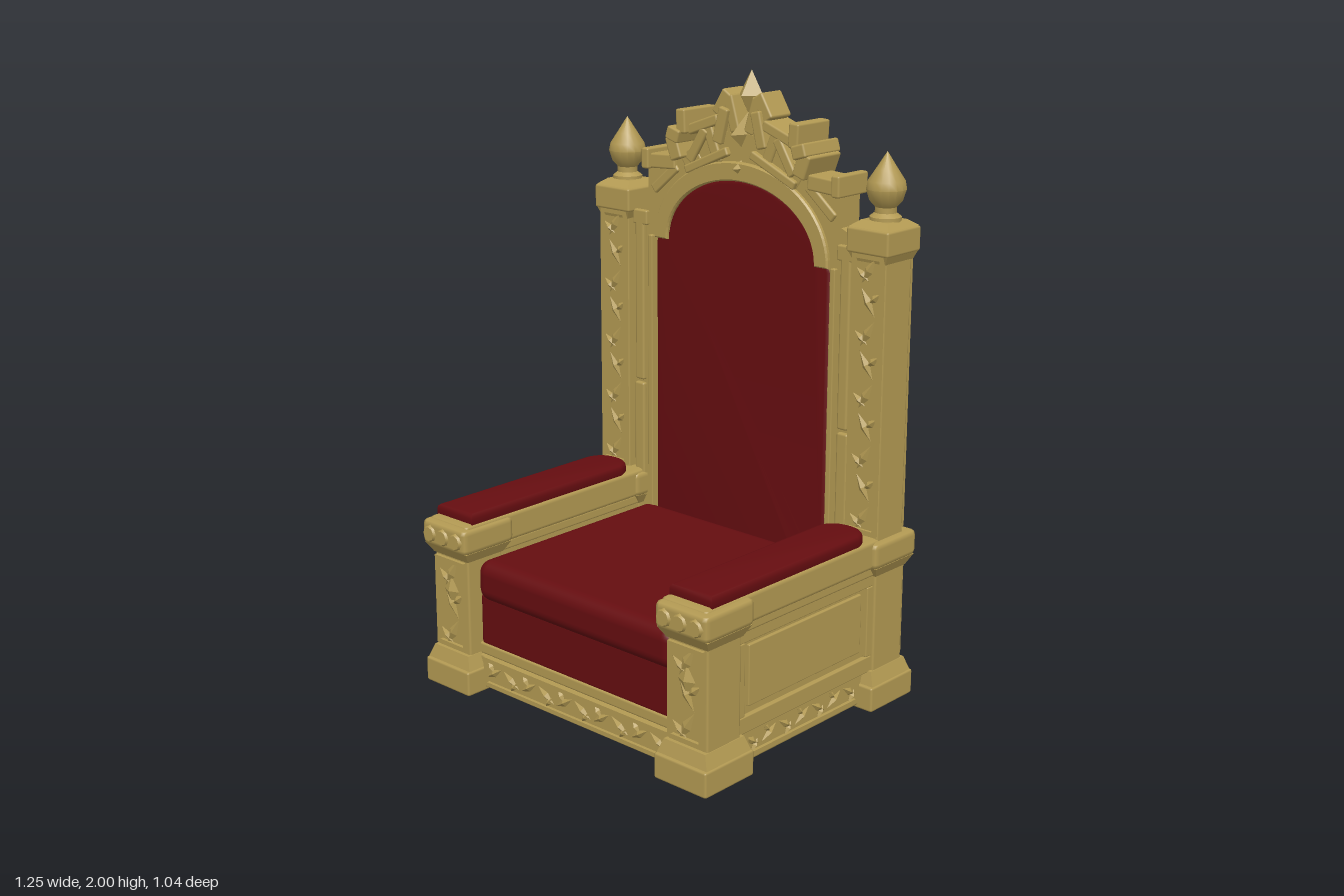
import * as THREE from 'three';
import { RoundedBoxGeometry } from 'three/addons/geometries/RoundedBoxGeometry.js';
import { mergeGeometries, toCreasedNormals } from 'three/addons/utils/BufferGeometryUtils.js';

const gold = new THREE.MeshStandardMaterial({ color: 0xb39a53 });
gold.name = 'gilded wood';
const red = new THREE.MeshStandardMaterial({ color: 0x650d10 });
red.name = 'red velvet';

export function createModel() {
  const root = new THREE.Group();
  root.name = 'throne';

  const add = (name, geo, mat = gold) => {
    const mesh = new THREE.Mesh(geo, mat);
    mesh.name = name;
    root.add(mesh);
    return mesh;
  };
  // Box given by its limits, with slightly rounded edges
  const box = (name, x0, x1, y0, y1, z0, z1, r = 0.008, mat = gold, seg = 1) => {
    const g = new RoundedBoxGeometry(x1 - x0, y1 - y0, z1 - z0, seg, r);
    g.translate((x0 + x1) / 2, (y0 + y1) / 2, (z0 + z1) / 2);
    return add(name, g, mat);
  };
  // Same box on the left (+x) and the right (-x)
  const pair = (name, x0, x1, ...rest) => {
    box(name + 'Left', x0, x1, ...rest);
    box(name + 'Right', -x1, -x0, ...rest);
  };
  // Four-sided block tapering upwards
  const taper = (name, x, y0, y1, z, w0, d0, w1, d1) => {
    const g = new THREE.BoxGeometry(1, y1 - y0, 1);
    const p = g.attributes.position;
    for (let i = 0; i < p.count; i++) {
      const top = p.getY(i) > 0;
      p.setX(i, p.getX(i) * (top ? w1 : w0));
      p.setZ(i, p.getZ(i) * (top ? d1 : d0));
    }
    g.translate(x, (y0 + y1) / 2, z);
    g.computeVertexNormals();
    add(name, g);
  };
  // Strip of leaf carving with raised borders; runs along local y, faces local +z
  const carving = (name, length, width, x, y, z, turn = 0, lay = 0) => {
    const parts = [];
    const n = Math.max(2, Math.round(length / (width * 0.85)));
    for (let i = 0; i < n; i++) {
      const s = i % 2 ? 1 : -1;
      const cy = -length / 2 + (i + 0.5) * length / n;
      [[0.42, 0.13, s * 0.55, 0], [0.26, 0.1, -s * 0.9, s * 0.2]].forEach(([l, w, a, dx]) => {
        const leaf = new THREE.OctahedronGeometry(1).scale(w * width, l * width, 0.011);
        parts.push(leaf.rotateZ(a).translate(dx * width, cy + dx * width * 0.6, 0));
      });
    }
    for (const s of [-1, 1]) {
      const b = 0.014;
      parts.push(new THREE.BoxGeometry(b, length, 0.018).toNonIndexed().translate(s * (width - b) / 2, 0, 0));
      parts.push(new THREE.BoxGeometry(width, b, 0.018).toNonIndexed().translate(0, s * (length - b) / 2, 0));
    }
    const m = add(name, mergeGeometries(parts));
    m.position.set(x, y, z);
    m.rotation.set(0, turn, lay, 'YXZ');
  };

  // Base and its carved rails
  box('basePlinth', -0.57, 0.57, 0.012, 0.125, -0.45, 0.435);
  box('frontRailTop', -0.45, 0.45, 0.125, 0.165, 0.3, 0.43);
  carving('frontRailCarving', 0.82, 0.1, 0, 0.075, 0.437, 0, Math.PI / 2);
  carving('backRailCarving', 0.82, 0.1, 0, 0.075, -0.453, Math.PI, Math.PI / 2);

  // Back and front posts, feet, arms and side panels
  for (const s of [-1, 1]) {
    for (const z of [-0.4, 0.4]) {
      const x = s * 0.52;
      box('foot', x - 0.105, x + 0.105, 0, 0.085, z - 0.11, z + 0.11);
      taper('footMoulding', x, 0.085, 0.13, z, 0.2, 0.2, 0.165, 0.175);
      box('lowerPost', x - 0.08, x + 0.08, 0.12, 0.49, z - 0.075, z + 0.075);
      taper('postNeck', x, 0.455, 0.49, z, 0.165, 0.155, 0.2, 0.2);
      box('armBlock', x - 0.105, x + 0.105, 0.485, 0.575, z - 0.11, z + 0.11, 0.02);
      const f = Math.sign(z);
      carving('lowerPostCarving', 0.31, 0.14, x, 0.295, z + f * 0.078, f > 0 ? 0 : Math.PI);
      // Diamond on the post and bosses on the arm block
      const diamond = add('postDiamond', new THREE.OctahedronGeometry(1).scale(0.035, 0.05, 0.015));
      diamond.position.set(x, 0.34, z + f * 0.078);
      for (const k of [-1, 0, 1]) {
        const boss = add('armBoss', new THREE.CylinderGeometry(0.024, 0.032, 0.014, 8).rotateX(f * Math.PI / 2));
        boss.position.set(x + k * 0.062, 0.53, z + f * 0.111);
      }
    }
    carving('sideRailCarving', 0.56, 0.095, s * 0.572, 0.078, 0, s * Math.PI / 2, Math.PI / 2);
    // Tall carved back post
    const px = s * 0.542;
    box('backPost', px - 0.063, px + 0.063, 0.56, 1.5, -0.455, -0.32);
    carving('backPostCarving', 0.9, 0.12, px, 1.04, -0.32);
    carving('backPostRearCarving', 0.9, 0.12, px, 1.04, -0.455, Math.PI);
    taper('capitalNeck', px, 1.465, 1.5, -0.39, 0.125, 0.14, 0.155, 0.165);
    box('capital', px - 0.08, px + 0.08, 1.49, 1.57, -0.475, -0.305);
    taper('capitalTop', px, 1.57, 1.59, -0.39, 0.15, 0.16, 0.1, 0.1);
    // Pointed finial
    const profile = [[0.05, 1.58], [0.05, 1.6], [0.034, 1.612], [0.034, 1.63], [0.052, 1.65], [0.063, 1.685],
      [0.058, 1.71], [0.035, 1.745], [0, 1.8]].map(([r, y]) => new THREE.Vector2(r, y));
    const finial = add('finial', toCreasedNormals(new THREE.LatheGeometry(profile, 16), 0.6));
    finial.position.set(s * 0.547, 0, -0.39);
  }
  pair('sideWall', 0.445, 0.575, 0.12, 0.49, -0.35, 0.35);
  pair('armRail', 0.425, 0.608, 0.485, 0.583, -0.46, 0.49, 0.015);
  pair('armUnderMoulding', 0.435, 0.595, 0.455, 0.49, -0.34, 0.34);
  // Raised frame and inner panel on each side wall
  pair('panelRailTop', 0.57, 0.59, 0.42, 0.46, -0.33, 0.33, 0.004);
  pair('panelRailBottom', 0.57, 0.59, 0.125, 0.18, -0.33, 0.33, 0.004);
  pair('panelStileFront', 0.57, 0.59, 0.18, 0.42, 0.295, 0.33, 0.004);
  pair('panelStileBack', 0.57, 0.59, 0.18, 0.42, -0.33, -0.3, 0.004);
  pair('panelField', 0.57, 0.585, 0.205, 0.405, -0.275, 0.272, 0.004);

  // Arched opening shared by frame and backrest, widened by m
  const arch = (Curve, m) => {
    const s = new Curve();
    s.moveTo(-0.425 - m, 0.12);
    s.lineTo(0.425 + m, 0.12);
    s.quadraticCurveTo(0.375 + m, 0.26, 0.37 + m, 0.42);
    s.lineTo(0.37 + m, 1.4);
    s.quadraticCurveTo(0.36 + m, 1.44, 0.315 + m, 1.44);
    s.absellipse(0, 1.42, 0.318 + m, 0.23 + m, 0.09, Math.PI - 0.09, false, 0);
    s.quadraticCurveTo(-0.36 - m, 1.44, -0.37 - m, 1.4);
    s.lineTo(-0.37 - m, 0.42);
    s.quadraticCurveTo(-0.375 - m, 0.26, -0.425 - m, 0.12);
    return s;
  };
  const half = [[0.49, 0.12], [0.49, 1.5], [0.455, 1.53], [0.41, 1.55], [0.41, 1.65], [0.3, 1.68], [0.2, 1.74], [0.08, 1.8]];
  const outline = [...half, ...half.slice().reverse().map(([x, y]) => [-x, y])];
  const frame = new THREE.Shape(outline.map(([x, y]) => new THREE.Vector2(x, y)));
  frame.holes.push(arch(THREE.Path, 0));
  const frameGeo = new THREE.ExtrudeGeometry(frame, { depth: 0.09, bevelEnabled: false, curveSegments: 20 });
  add('backFrame', frameGeo.translate(0, 0, -0.438));

  // Velvet backrest, slightly padded on both faces
  const backGeo = new THREE.ExtrudeGeometry(arch(THREE.Shape, -0.012), {
    depth: 0.06, bevelThickness: 0.018, bevelSize: 0.018, bevelSegments: 3, curveSegments: 20 });
  add('backrest', toCreasedNormals(backGeo.translate(0, 0, -0.423), 0.7), red);

  // Arch moulding, front and back
  for (const z of [-0.347, -0.441]) {
    const band = new THREE.Shape();
    band.absellipse(0, 1.42, 0.365, 0.285, 0, Math.PI, false, 0);
    band.absellipse(0, 1.42, 0.318, 0.232, Math.PI, 0, true, 0);
    const g = new THREE.ExtrudeGeometry(band, { depth: 0.018, bevelThickness: 0.006, bevelSize: 0.005, bevelSegments: 1, curveSegments: 20 });
    add('archMoulding', g.translate(0, 0, z - 0.009));
  }
  // Vertical mouldings beside the backrest
  for (const [z0, z1] of [[-0.355, -0.333], [-0.455, -0.432]]) {
    pair('innerLath', 0.38, 0.4, 0.45, 1.42, z0, z1, 0.004);
    pair('lowerColumn', 0.42, 0.465, 0.48, 0.895, z0, z1, 0.008);
    pair('upperColumn', 0.42, 0.46, 0.905, 1.47, z0, z1, 0.008);
    pair('columnHead', 0.405, 0.47, 1.45, 1.5, z0, z1, 0.006);
  }

  // Crest of scrolls stepping up to the centre: x, y, width, height, depth, tilt
  const scrolls = [
    [0.345, 1.675, 0.13, 0.05, 0.12, -0.06], [0.402, 1.68, 0.032, 0.07, 0.15, 0],
    [0.33, 1.62, 0.14, 0.035, 0.11, -0.7], [0.27, 1.73, 0.05, 0.08, 0.16, -0.35],
    [0.237, 1.82, 0.04, 0.08, 0.16, -0.05], [0.265, 1.775, 0.055, 0.045, 0.18, 0.3],
    [0.185, 1.745, 0.035, 0.13, 0.12, 0.55], [0.16, 1.815, 0.14, 0.035, 0.12, -0.35],
    [0.125, 1.765, 0.04, 0.15, 0.11, -0.4], [0.085, 1.89, 0.045, 0.09, 0.1, 0.55],
    [0.08, 1.82, 0.04, 0.12, 0.13, 0.25], [0.045, 1.86, 0.04, 0.12, 0.1, -0.3],
    [0.14, 1.7, 0.2, 0.03, 0.13, -0.42], [0.21, 1.69, 0.08, 0.06, 0.1, -0.6],
  ];
  for (const s of [-1, 1]) {
    for (const [x, y, w, h, d, tilt] of scrolls) {
      const m = add('crestScroll', new RoundedBoxGeometry(w, h, d, 1, 0.007));
      m.position.set(s * x, y, -0.395);
      m.rotation.z = s * tilt;
    }
  }
  const stud = (name, y, w, h, d) => {
    const g = new THREE.OctahedronGeometry(1).scale(w, h, d);
    add(name, g.translate(0, y, -0.395));
  };
  box('crestCore', -0.1, 0.1, 1.7, 1.83, -0.44, -0.35);
  stud('crestPoint', 1.92, 0.05, 0.08, 0.05);
  stud('crestJewel', 1.8, 0.042, 0.08, 0.1);
  stud('keystone', 1.69, 0.04, 0.055, 0.09);

  // Seat upholstery
  box('seatApron', -0.445, 0.445, 0.15, 0.34, -0.4, 0.425, 0.02, red, 3);
  box('seatCushion', -0.435, 0.435, 0.32, 0.46, -0.37, 0.452, 0.045, red, 5);
  // Arm cushions with rounded back ends
  const pad = new THREE.Shape();
  pad.moveTo(-0.07, -0.445);
  pad.lineTo(0.07, -0.445);
  pad.lineTo(0.07, 0.23);
  pad.quadraticCurveTo(0.06, 0.285, 0, 0.285);
  pad.quadraticCurveTo(-0.06, 0.285, -0.07, 0.23);
  for (const s of [-1, 1]) {
    const g = new THREE.ExtrudeGeometry(pad, { depth: 0.02, bevelThickness: 0.016, bevelSize: 0.014, bevelSegments: 3 });
    const m = add('armCushion', toCreasedNormals(g.rotateX(-Math.PI / 2), 0.7), red);
    m.position.set(s * 0.517, 0.58, 0);
  }
  return root;
}
